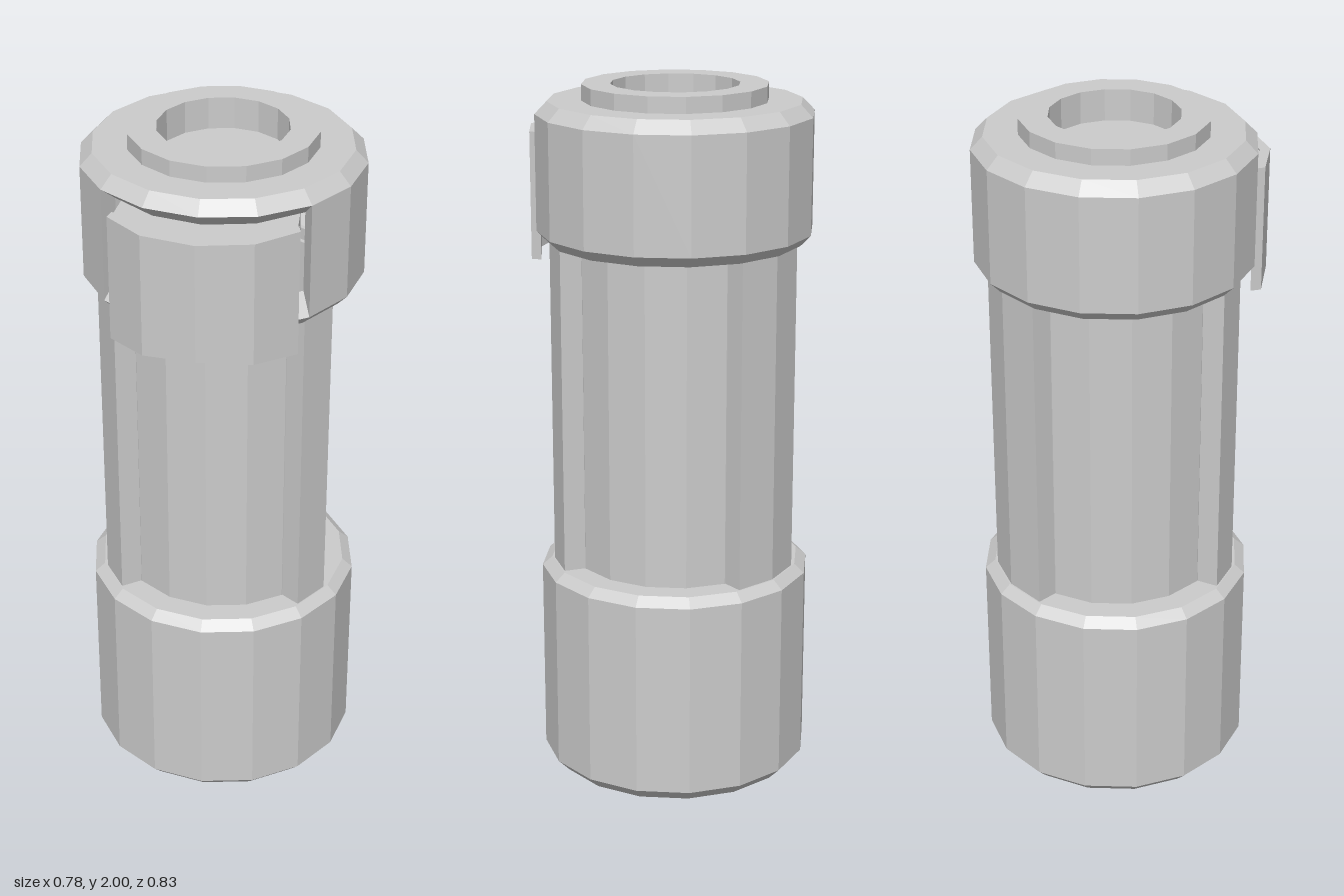
import * as THREE from 'three';

const SIDES = 16;
const STEP = (Math.PI * 2) / SIDES;
const material = new THREE.MeshStandardMaterial({ color: 0xcccccc, flatShading: true });
const doubleSided = new THREE.MeshStandardMaterial({ color: 0xcccccc, flatShading: true, side: THREE.DoubleSide });

// Point on a 16-sided ring; step 0 faces the front
const ring = (r, i) => [r * Math.sin(i * STEP), r * Math.cos(i * STEP)];

function part(name, geometry, mat = material) {
  const mesh = new THREE.Mesh(geometry, mat);
  mesh.name = name;
  return mesh;
}

// Faceted turning from [radius, y] pairs, listed from bottom to top
function turned(name, profile, firstStep = 0, steps = SIDES) {
  const points = profile.map(([r, y]) => new THREE.Vector2(r, y));
  return part(name, new THREE.LatheGeometry(points, steps, firstStep * STEP, steps * STEP), doubleSided);
}

// Upright prism over an outline of [x, z] points
function prism(outline, y0, y1) {
  const shape = new THREE.Shape(outline.map(([x, z]) => new THREE.Vector2(x, z)));
  const geometry = new THREE.ExtrudeGeometry(shape, { depth: y1 - y0, bevelEnabled: false });
  return geometry.rotateX(Math.PI / 2).translate(0, y1, 0);
}

// Surface joining two closed loops of equal length
function loft(a, b) {
  const position = [];
  a.forEach((p, i) => {
    const j = (i + 1) % a.length;
    position.push(...p, ...a[j], ...b[j], ...p, ...b[j], ...b[i]);
  });
  const geometry = new THREE.BufferGeometry();
  geometry.setAttribute('position', new THREE.Float32BufferAttribute(position, 3));
  geometry.computeVertexNormals();
  return geometry;
}

export function createModel() {
  const model = new THREE.Group();
  model.name = 'canister';
  const bodyR = 0.293, capR = 0.389, raise = 0.062;

  // Base cup with chamfered rims
  model.add(turned('base', [[0, 0], [0.355, 0], [capR, 0.035], [capR, 0.6], [0.36, 0.625], [0, 0.625]]));

  // Narrow body
  model.add(turned('body', [[bodyR, 0.6], [bodyR, 1.6]]));

  // Raised ribs: one facet on each front side, two at the back
  const lifted = (i, normalStep) => {
    const [x, z] = ring(bodyR, i), [nx, nz] = ring(raise, normalStep);
    return [x + nx, z + nz];
  };
  for (const s of [1, -1]) {
    const rib = [ring(0.28, 2 * s), lifted(2 * s, 2.5 * s), lifted(3 * s, 2.5 * s), ring(0.28, 3 * s)];
    model.add(part(s > 0 ? 'leftRib' : 'rightRib', prism(rib, 0.61, 1.58)));
  }
  const backRib = [ring(0.28, 7), lifted(7, 7.5), ring(0.355, 8), lifted(9, 8.5), ring(0.28, 9), ring(0.28, 8)];
  model.add(part('backRib', prism(backRib, 0.61, 1.58)));

  // Head: lower rim, band open at the front, upper rim with hollow neck
  const low = 1.595, high = 1.92;
  model.add(turned('headLowerRim', [[0.28, 1.565], [0.36, 1.565], [capR, low]]));
  model.add(turned('headBand', [[capR, low], [capR, high]], 2, 12));
  model.add(turned('headTop', [[capR, high], [0.355, 1.955], [0.26, 1.955],
    [0.26, 2], [0.18, 2], [0.18, 1.91], [0, 1.91]]));

  // Sloping recess in the front of the head
  const front = [-2, -1, 0, 1, 2].map((i) => ring(capR, i));
  const loop = (scale, push, y0, y1) => [
    ...front.map(([x, z]) => [x * scale, y0, z + push]),
    ...[...front].reverse().map(([x, z]) => [x * scale, y1, z + push]),
  ];
  model.add(part('recess', loft(loop(1, 0, low, high), loop(0.91, -0.06, 1.64, 1.87)), doubleSided));

  // Clip: faceted plate on a mount that fills the recess
  const face = [[-0.252, 0.316], [-0.148, 0.405], [0, 0.438], [0.148, 0.405], [0.252, 0.316]];
  const slab = (frontPush, backPush, width) => [
    ...face.map(([x, z]) => [x * width, z + frontPush]),
    ...[...face].reverse().map(([x, z]) => [x * width * 0.97, z + backPush]),
  ];
  const plate = prism(slab(0, -0.03, 1), 1.525, 1.865);
  const pos = plate.attributes.position;
  for (let i = 0; i < pos.count; i++) {
    // Lower edge dips toward its corners
    if (pos.getY(i) < 1.6) pos.setY(i, 1.525 - 0.08 * Math.abs(pos.getX(i)));
  }
  const clip = new THREE.Group();
  clip.name = 'clip';
  clip.add(part('clipPlate', plate), part('clipMount', prism(slab(-0.025, -0.13, 0.96), 1.63, 1.86)));
  model.add(clip);

  // Balance the clip's depth about the centre
  model.children.forEach((child) => { child.position.z = -0.026; });
  return model;
}
